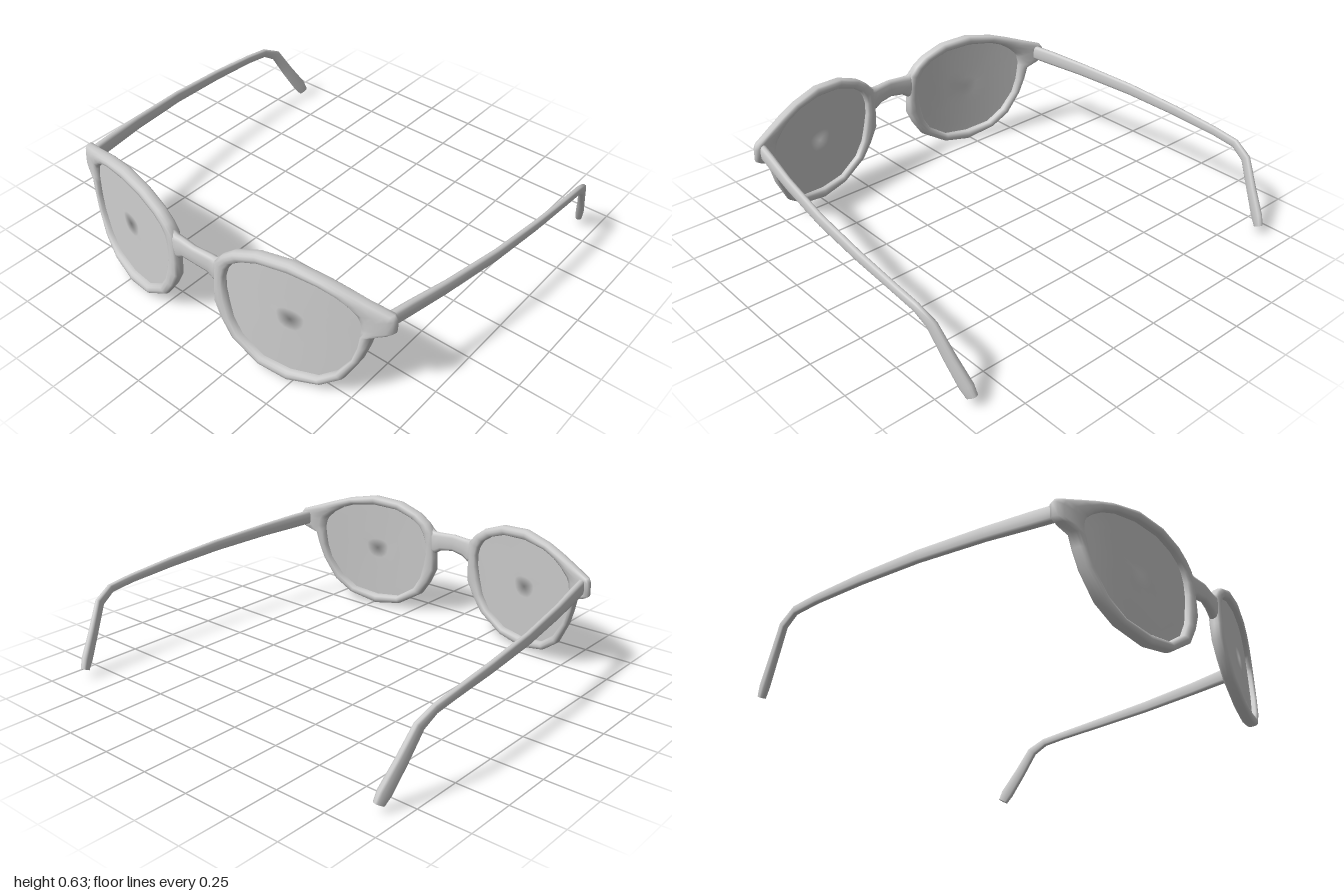
import * as THREE from 'three';

const SIDES = 12;

// Depth of the curved, slightly tilted front at a given x, y
const frontZ = (x, y) => 0.864 - 0.225 * x * x + (0.35 - y) * 0.045;

// Rounded-rectangle cross-section point, -1..1 on both axes
function sectionPoint(k, power) {
  const a = (k / SIDES) * Math.PI * 2;
  const soft = (v) => Math.sign(v) * Math.pow(Math.abs(v), power);
  return [soft(Math.cos(a)), soft(Math.sin(a))];
}

// Skin a row of closed rings; a looped row closes on itself, an open one is capped
function skin(rings, looped) {
  const n = rings.length, pos = rings.flat(2), index = [];
  for (let i = 0; i < (looped ? n : n - 1); i++) {
    for (let k = 0; k < SIDES; k++) {
      const k2 = (k + 1) % SIDES, j = (i + 1) % n;
      const a = i * SIDES + k, b = i * SIDES + k2, c = j * SIDES + k2, d = j * SIDES + k;
      index.push(a, b, c, a, c, d);
    }
  }
  if (!looped) {
    [0, n - 1].forEach((i) => {
      const base = pos.length / 3;
      rings[i].forEach((p) => pos.push(...p));
      for (let k = 1; k < SIDES - 1; k++) {
        if (i === 0) index.push(base, base + k + 1, base + k);
        else index.push(base, base + k, base + k + 1);
      }
    });
  }
  return finish(pos, index);
}

// Turn a closed surface outward and give it smooth normals
function finish(pos, index) {
  const v = (i) => new THREE.Vector3().fromArray(pos, i * 3);
  let volume = 0;
  for (let i = 0; i < index.length; i += 3) {
    volume += v(index[i]).dot(v(index[i + 1]).cross(v(index[i + 2])));
  }
  if (volume < 0) index.reverse();
  const g = new THREE.BufferGeometry();
  g.setAttribute('position', new THREE.Float32BufferAttribute(pos, 3));
  g.setIndex(index);
  g.computeVertexNormals();
  return g;
}

// Bar through stations [x, y, z, half height, half width]
function bar(stations) {
  const pts = stations.map((s) => new THREE.Vector3(s[0], s[1], s[2]));
  const rings = stations.map((s, i) => {
    const before = pts[Math.max(i - 1, 0)], after = pts[Math.min(i + 1, pts.length - 1)];
    const dir = after.clone().sub(before).normalize();
    const side = new THREE.Vector3(0, 1, 0).cross(dir).normalize();
    const up = dir.clone().cross(side);
    return Array.from({ length: SIDES }, (_, k) => {
      const [a, b] = sectionPoint(k, 0.7);
      return pts[i].clone().addScaledVector(up, a * s[3]).addScaledVector(side, b * s[4]).toArray();
    });
  });
  return skin(rings, false);
}

// Rim outline pairs, widening into the hinge corner: [outer x, outer y, inner x, inner y]
const RIM = [
  [0.48, 0.632, 0.48, 0.582], [0.63, 0.602, 0.60, 0.567], [0.72, 0.572, 0.67, 0.542],
  [0.80, 0.543, 0.72, 0.51], [0.895, 0.51, 0.757, 0.475], [0.908, 0.49, 0.77, 0.45],
  [0.908, 0.425, 0.777, 0.42], [0.885, 0.408, 0.778, 0.40], [0.827, 0.385, 0.776, 0.37],
  [0.812, 0.32, 0.77, 0.31], [0.785, 0.235, 0.75, 0.235], [0.72, 0.11, 0.69, 0.14],
  [0.63, 0.04, 0.61, 0.075], [0.48, 0, 0.48, 0.052], [0.337, 0.024, 0.35, 0.065],
  [0.20, 0.11, 0.245, 0.135], [0.145, 0.19, 0.20, 0.21], [0.108, 0.265, 0.18, 0.29],
  [0.108, 0.34, 0.167, 0.36], [0.112, 0.42, 0.167, 0.42], [0.118, 0.487, 0.18, 0.465],
  [0.155, 0.53, 0.205, 0.505], [0.21, 0.572, 0.255, 0.54], [0.325, 0.618, 0.345, 0.573],
];

function rimGeometry(s) {
  const rings = RIM.map(([ox, oy, ix, iy]) => Array.from({ length: SIDES }, (_, k) => {
    const [a, b] = sectionPoint(k, 0.75);
    const t = (1 - a) / 2;
    const x = ox + (ix - ox) * t, y = oy + (iy - oy) * t;
    return [s * x, y, frontZ(x, y) + b * 0.03];
  }));
  return skin(rings, true);
}

// Thin curved lens reaching just inside the rim
function lensGeometry(s) {
  const n = RIM.length, cx = 0.475, cy = 0.33, steps = 5;
  const pos = [s * cx, cy, frontZ(cx, cy)], index = [];
  for (let r = 1; r <= steps; r++) {
    const f = (r / steps) * 1.03;
    RIM.forEach(([, , ix, iy]) => {
      const x = cx + (ix - cx) * f, y = cy + (iy - cy) * f;
      pos.push(s * x, y, frontZ(x, y));
    });
  }
  for (let i = 0; i < n; i++) {
    const j = (i + 1) % n;
    index.push(0, 1 + j, 1 + i);
    for (let r = 0; r < steps - 1; r++) {
      const a = 1 + r * n + i, b = 1 + r * n + j;
      index.push(a, b + n, b, a, a + n, b + n);
    }
  }
  return finish(pos, index);
}

export function createModel() {
  const group = new THREE.Group();
  const material = new THREE.MeshStandardMaterial({ color: 0xcccccc });
  const lensMaterial = new THREE.MeshStandardMaterial({ color: 0xcccccc, side: THREE.DoubleSide });
  const add = (name, geometry, mat = material) => {
    const mesh = new THREE.Mesh(geometry, mat);
    mesh.name = name;
    group.add(mesh);
  };

  // Bridge flaring into both rims
  const half = [[0.145, 0.435, 0.07, 0.024], [0.11, 0.429, 0.061, 0.024], [0.08, 0.44, 0.05, 0.022]];
  const row = (s) => ([x, y, h, w]) => [s * x, y, frontZ(x, y), h, w];
  add('bridge', bar([...half.map(row(-1)), [0, 0.446, 0.867, 0.046, 0.02], ...half.map(row(1)).reverse()]));

  for (const s of [1, -1]) {
    const side = s > 0 ? 'left' : 'right';
    add(side + 'Rim', rimGeometry(s));
    add(side + 'Lens', lensGeometry(s), lensMaterial);

    // Temple arm with its drooping ear tip
    add(side + 'Temple', bar([
      [0.862, 0.465, 0.69, 0.038, 0.019], [0.885, 0.459, 0.56, 0.038, 0.018],
      [0.92, 0.448, 0.36, 0.034, 0.015], [0.96, 0.43, 0.05, 0.03, 0.014],
      [0.978, 0.41, -0.25, 0.026, 0.014], [0.983, 0.39, -0.5, 0.022, 0.014],
      [0.981, 0.374, -0.63, 0.022, 0.014], [0.968, 0.328, -0.71, 0.027, 0.015],
      [0.943, 0.2, -0.78, 0.03, 0.017], [0.918, 0.085, -0.848, 0.034, 0.019],
      [0.909, 0.042, -0.87, 0.026, 0.016],
    ].map(([x, ...rest]) => [s * x, ...rest])));
  }
  return group;
}
